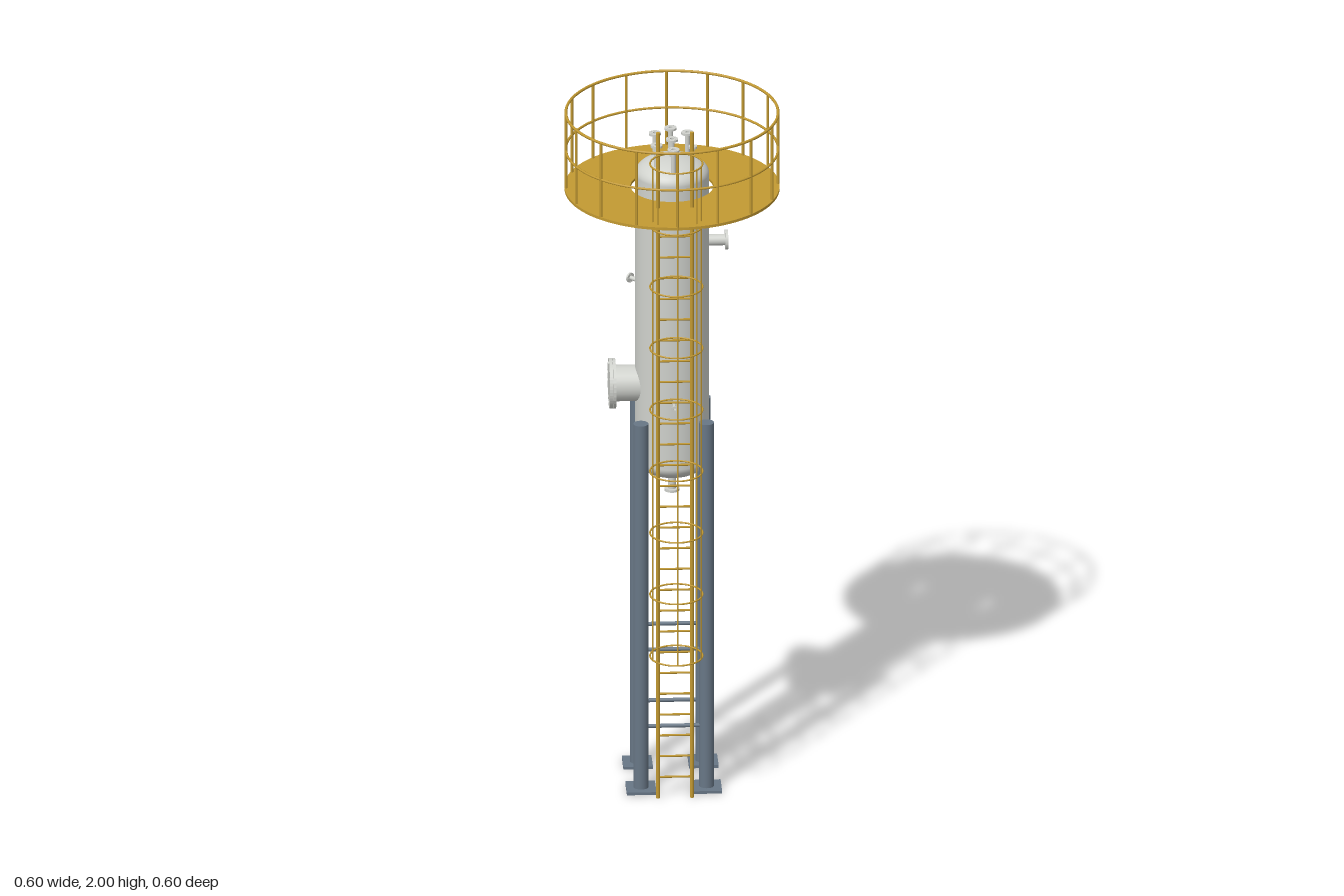
import * as THREE from 'three';

export function createModel() {
  const model = new THREE.Group();
  model.name = 'columnVessel';

  const mat = (name, color, side = THREE.FrontSide) => {
    const m = new THREE.MeshStandardMaterial({ color, side });
    m.name = name;
    return m;
  };
  const shellGrey = mat('shell grey', 0xd0d2cd, THREE.DoubleSide);
  const steelBlue = mat('steel blue', 0x687786);
  const safetyGold = mat('safety gold', 0xc39a32);

  const add = (parent, name, geometry, material, x = 0, y = 0, z = 0) => {
    const mesh = new THREE.Mesh(geometry, material);
    mesh.name = name;
    mesh.position.set(x, y, z);
    parent.add(mesh);
    return mesh;
  };
  const group = (name, parent = model) => {
    const g = new THREE.Group();
    g.name = name;
    parent.add(g);
    return g;
  };
  const UP = new THREE.Vector3(0, 1, 0);

  // Round bar between two points
  const bar = (parent, name, a, b, r, material, sides = 8) => {
    const p = new THREE.Vector3(...a), q = new THREE.Vector3(...b);
    const d = q.clone().sub(p);
    const mesh = add(parent, name, new THREE.CylinderGeometry(r, r, d.length(), sides), material);
    mesh.position.copy(p).add(q).multiplyScalar(0.5);
    mesh.quaternion.setFromUnitVectors(UP, d.normalize());
    return mesh;
  };
  // Horizontal ring
  const ring = (parent, name, radius, tube, y, z = 0, segments = 64) => {
    const mesh = add(parent, name, new THREE.TorusGeometry(radius, tube, 8, segments), safetyGold, 0, y, z);
    mesh.rotation.x = Math.PI / 2;
    return mesh;
  };
  const circlePath = (x, y, r) => new THREE.Path().absarc(x, y, r, 0, Math.PI * 2, true);

  // Flat disc with holes, lying from y = 0 up to y = depth
  const drilledDisc = (radius, bore, depth, bolts = 0, segments = 16) => {
    const shape = new THREE.Shape().absarc(0, 0, radius, 0, Math.PI * 2, false);
    if (bore) shape.holes.push(circlePath(0, 0, bore));
    for (let i = 0; i < bolts; i++) {
      const a = ((i + 0.5) / bolts) * Math.PI * 2;
      const br = bore ? (radius + bore) / 2 + radius * 0.08 : radius * 0.86;
      shape.holes.push(circlePath(br * Math.cos(a), br * Math.sin(a), radius * 0.08));
    }
    const g = new THREE.ExtrudeGeometry(shape, { depth, bevelEnabled: false, curveSegments: segments });
    return g.rotateX(-Math.PI / 2);
  };

  // Flanged pipe stub from a start point along a direction
  const nozzle = (name, start, dir, length, pipeR, flangeR, thick = 0.006, bolts = 4) => {
    const g = group(name);
    g.position.set(...start);
    g.quaternion.setFromUnitVectors(UP, new THREE.Vector3(...dir).normalize());
    add(g, 'pipe', new THREE.CylinderGeometry(pipeR, pipeR, length, 24, 1, true), shellGrey, 0, length / 2, 0);
    add(g, 'flange', drilledDisc(flangeR, pipeR * 0.8, thick, bolts), shellGrey, 0, length - thick, 0);
    return g;
  };

  // Vessel: cylinder with elliptical heads
  const R = 0.103, H = 0.0515, bottom = 0.963, top = 1.813;
  const profile = [];
  for (let i = 0; i <= 12; i++) {
    const a = (i / 12) * Math.PI / 2;
    profile.push(new THREE.Vector2(R * Math.sin(a), bottom - H * Math.cos(a)));
  }
  for (let i = 0; i <= 12; i++) {
    const a = (i / 12) * Math.PI / 2;
    profile.push(new THREE.Vector2(R * Math.cos(a), top + H * Math.sin(a)));
  }
  add(model, 'vesselShell', new THREE.LatheGeometry(profile, 64), shellGrey);

  // Nozzles on the top head
  const topSpots = [
    [0, 0, 0.017], [0, -0.08, 0.017], [0, 0.077, 0.017],
    [-0.045, -0.045, 0.017], [0.045, -0.045, 0.017],
    [-0.045, 0.042, 0.017], [0.055, 0.055, 0.012],
  ];
  for (const [x, z, r] of topSpots) {
    nozzle('topNozzle', [x, 1.82, z], [0, 1, 0], 0.097, r * 0.42, r);
  }

  // Nozzles on the shell and the bottom head
  nozzle('sideNozzle', [0.095, 1.61, 0], [1, 0, 0], 0.06, 0.016, 0.028, 0.008, 8);
  nozzle('upperBackNozzle', [0, 1.547, -0.095], [0, 0, -1], 0.06, 0.004, 0.01, 0.004, 0);
  nozzle('lowerBackNozzle', [0, 0.992, -0.095], [0, 0, -1], 0.06, 0.004, 0.01, 0.004, 0);
  nozzle('frontNozzle', [0, 1.165, 0.095], [0, 0, 1], 0.055, 0.004, 0.01, 0.004, 0);
  nozzle('diagonalNozzle', [-0.068, 1.455, -0.068], [-1, 0, -1], 0.062, 0.006, 0.014, 0.005);
  nozzle('bottomNozzle', [0, 0.93, 0], [0, -1, 0], 0.07, 0.011, 0.021, 0.007);

  // Manway with a bolted cover
  const manway = nozzle('manway', [-0.09, 1.185, 0], [-1, 0, 0], 0.075, 0.051, 0.07, 0.008, 16);
  add(manway, 'cover', drilledDisc(0.07, 0, 0.009, 16, 24), shellGrey, 0, 0.076, 0);

  // Legs with base plates, and braces at two levels
  const frame = group('supportFrame');
  const L = 0.091;
  const corners = [[L, L], [-L, L], [-L, -L], [L, -L]];
  corners.forEach(([x, z], i) => {
    bar(frame, 'leg', [x, 0, z], [x, 1.1, z], 0.021, steelBlue, 24);
    add(frame, 'basePlate', new THREE.BoxGeometry(0.082, 0.008, 0.082), steelBlue, x, 0.004, z);
    const [nx, nz] = corners[(i + 1) % 4];
    for (const y of [0.19, 0.42]) bar(frame, 'brace', [x, y, z], [nx, y, nz], 0.006, steelBlue);
  });

  // Ring platform with guard rail
  const platform = group('platform');
  add(platform, 'deck', drilledDisc(0.298, 0.115, 0.008, 0, 48), safetyGold, 0, 1.767, 0);
  ring(platform, 'topRail', 0.294, 0.004, 1.996);
  ring(platform, 'midRail', 0.294, 0.0035, 1.886);
  for (let i = 0; i < 16; i++) {
    const a = (i / 16) * Math.PI * 2;
    const x = 0.294 * Math.sin(a), z = 0.294 * Math.cos(a);
    bar(platform, 'railPost', [x, 1.77, z], [x, 1.996, z], 0.004, safetyGold);
  }

  // Ladder
  const ladder = group('ladder');
  for (const s of [-1, 1]) bar(ladder, 'ladderRail', [s * 0.047, 0, 0.153], [s * 0.047, 2, 0.153], 0.0058, safetyGold, 12);
  for (let i = 1; i <= 28; i++) {
    bar(ladder, 'rung', [-0.047, i * 0.0625, 0.153], [0.047, i * 0.0625, 0.153], 0.003, safetyGold, 6);
  }

  // Safety cage: hoops and vertical straps
  const cage = group('ladderCage');
  for (let i = 0; i < 9; i++) ring(cage, 'cageHoop', 0.073, 0.0025, 0.457 + i * 0.185, 0.225, 40);
  for (const deg of [-67, -48, 0, 48, 67]) {
    const a = THREE.MathUtils.degToRad(deg);
    const x = 0.073 * Math.sin(a), z = 0.225 + 0.073 * Math.cos(a);
    bar(cage, 'cageStrap', [x, 0.457, z], [x, 1.94, z], 0.0025, safetyGold, 6);
  }

  return model;
}
